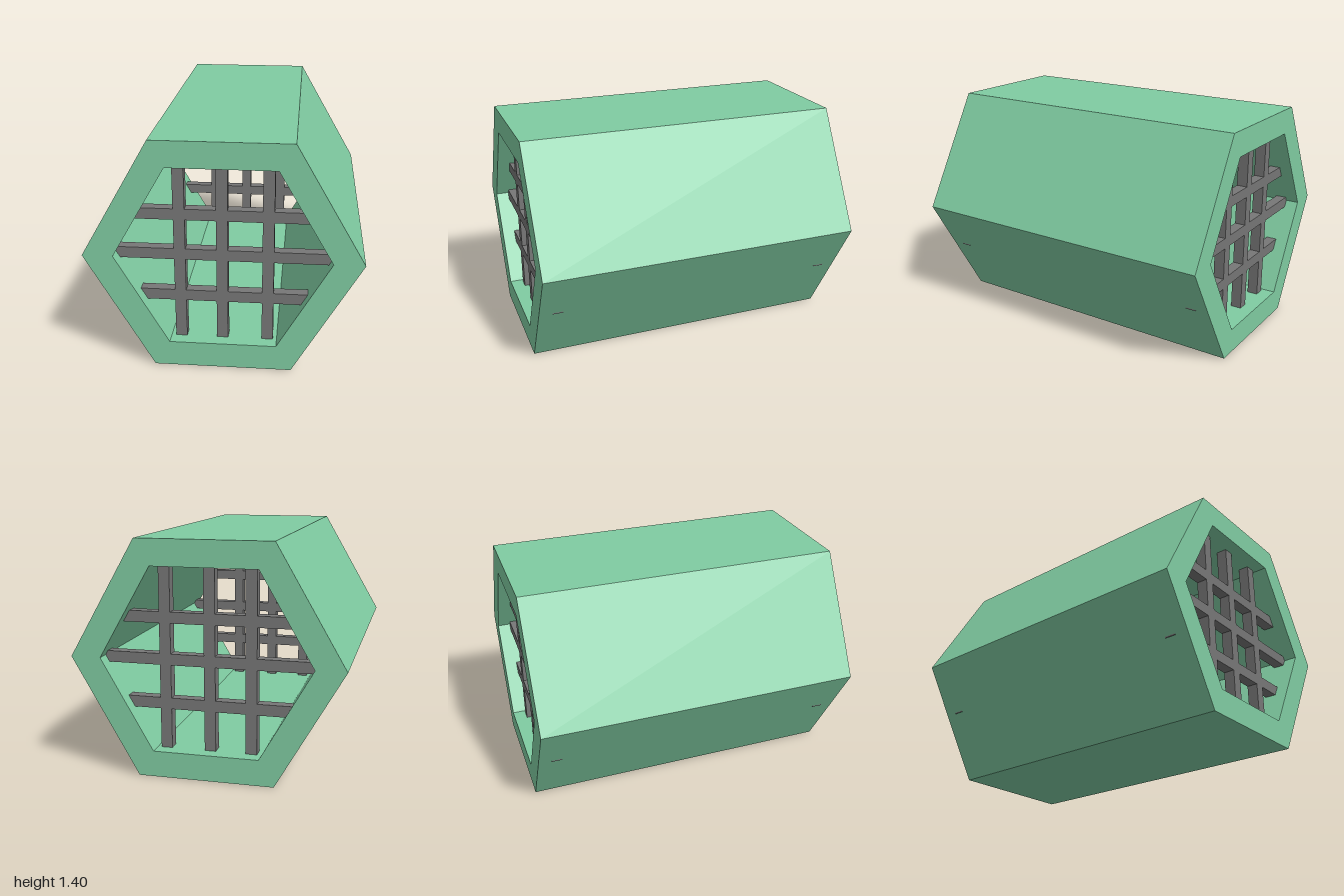
import * as THREE from 'three';

const RADIUS = 0.81, INNER = 0.63, MID_Y = 0.705, LENGTH = 2;
const BAR = 0.067, BAR_LENGTH = 1.275;

// Corner points of a hexagon lying on a flat side
function hexagon(radius) {
  return Array.from({ length: 6 }, (_, i) => {
    const a = (i * Math.PI) / 3;
    return new THREE.Vector2(radius * Math.cos(a), radius * Math.sin(a));
  });
}

export function createModel() {
  const model = new THREE.Group();
  model.name = 'hexagonalTube';
  const shellMaterial = new THREE.MeshStandardMaterial({ color: 0x80cca2, flatShading: true });
  const barMaterial = new THREE.MeshStandardMaterial({ color: 0x777777, flatShading: true });

  // Thick-walled hexagonal shell, open at both ends
  const outline = new THREE.Shape(hexagon(RADIUS));
  outline.holes.push(new THREE.Path(hexagon(INNER).reverse()));
  const shellGeometry = new THREE.ExtrudeGeometry(outline, { depth: LENGTH, bevelEnabled: false });
  shellGeometry.translate(0, MID_Y, -LENGTH / 2);
  const shell = new THREE.Mesh(shellGeometry, shellMaterial);
  shell.name = 'shell';
  model.add(shell);

  // One grille of crossed bars just inside each end
  const verticalGeometry = new THREE.BoxGeometry(BAR, BAR_LENGTH, BAR);
  const horizontalGeometry = new THREE.BoxGeometry(BAR_LENGTH, BAR, BAR);
  for (const [name, z] of [['frontGrille', 0.885], ['backGrille', -0.885]]) {
    const grille = new THREE.Group();
    grille.name = name;
    grille.position.z = z;
    for (const x of [-0.255, -0.008, 0.259]) {
      const bar = new THREE.Mesh(verticalGeometry, barMaterial);
      bar.name = 'verticalBar';
      bar.position.set(x, MID_Y, 0);
      grille.add(bar);
    }
    for (const y of [0.432, 0.697, 0.945]) {
      const bar = new THREE.Mesh(horizontalGeometry, barMaterial);
      bar.name = 'horizontalBar';
      bar.position.set(0, y, 0);
      grille.add(bar);
    }
    model.add(grille);
  }
  return model;
}
